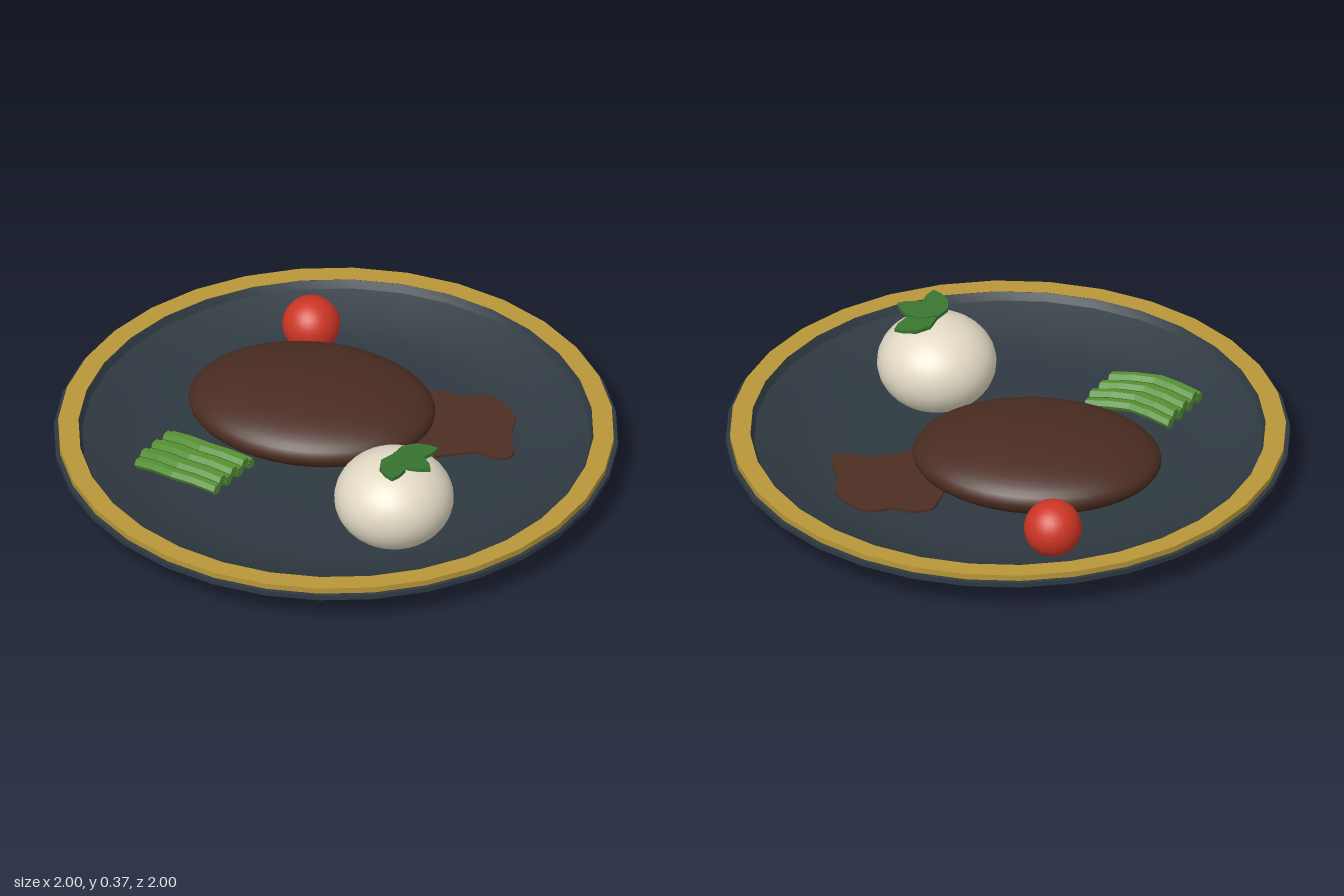
import * as THREE from 'three';
import { toCreasedNormals } from 'three/addons/utils/BufferGeometryUtils.js';

const mat = (name, color, flatShading = false) => {
  const m = new THREE.MeshStandardMaterial({ color, flatShading });
  m.name = name;
  return m;
};

export function createModel() {
  const slate = mat('slate', 0x2f3941);
  const gold = mat('gold', 0xb89638);
  const meat = mat('browned meat', 0x4a2c21);
  const gravy = mat('gravy', 0x4c2e23);
  const cream = mat('cream', 0xe2d9c4);
  const red = mat('tomato red', 0xcc3524);
  const beanGreen = mat('bean green', 0x559133, true);
  const leafGreen = mat('leaf green', 0x387530, true);

  const model = new THREE.Group();
  model.name = 'dinnerPlate';
  const add = (name, geometry, material, parent = model) => {
    const mesh = new THREE.Mesh(geometry, material);
    mesh.name = name;
    parent.add(mesh);
    return mesh;
  };
  const lathe = (pts) =>
    toCreasedNormals(new THREE.LatheGeometry(pts.map(([r, y]) => new THREE.Vector2(r, y)), 32), 0.6);
  // Flat slab from an outline of [x, z] points, resting on y = 0
  const slab = (pts, depth, smooth) => {
    const v = pts.map(([x, z]) => new THREE.Vector2(x, -z));
    const shape = new THREE.Shape(smooth ? new THREE.SplineCurve([...v, v[0]]).getPoints(48) : v);
    return new THREE.ExtrudeGeometry(shape, { depth, bevelEnabled: false }).rotateX(-Math.PI / 2);
  };

  // Plate: underside, edge, then the dished inside
  add('plate', lathe([
    [0, 0], [0.58, 0], [0.62, 0.01], [0.9, 0.085], [1, 0.115], [1, 0.133], [0.915, 0.135],
    [0.915, 0.153], [0.9, 0.125], [0.8, 0.085], [0.69, 0.052], [0.6, 0.047], [0, 0.045],
  ]), slate);
  add('goldRim', lathe([[0.985, 0.13], [0.985, 0.155], [0.913, 0.155]]), gold);

  // Steak
  const steak = add('steak', new THREE.SphereGeometry(1, 40, 24), meat);
  steak.scale.set(0.443, 0.115, 0.345);
  steak.position.set(-0.17, 0.14, -0.083);
  steak.rotation.y = Math.PI / 8;

  // Gravy puddle
  add('gravyPuddle', slab([
    [0.03, -0.46], [0.08, -0.52], [0.15, -0.53], [0.21, -0.59], [0.28, -0.595], [0.38, -0.55],
    [0.43, -0.46], [0.51, -0.37], [0.49, -0.31], [0.4, -0.29], [0.33, -0.22], [0.26, -0.16], [0.08, -0.3],
  ], 0.009, true), gravy).position.y = 0.051;

  // Mash and tomato
  const mash = add('mashScoop', new THREE.SphereGeometry(1, 32, 24), cream);
  mash.scale.set(0.212, 0.172, 0.212);
  mash.position.set(0.433, 0.172, 0.23);
  add('tomato', new THREE.SphereGeometry(0.103, 24, 18), red).position.set(-0.468, 0.143, -0.47);

  // Green beans: rods arched upward and kinked toward the back at one end
  const beans = new THREE.Group();
  beans.name = 'greenBeans';
  model.add(beans);
  const half = 0.162;
  for (let i = 0; i < 7; i++) {
    const g = new THREE.CylinderGeometry(0.021, 0.021, half * 2, 6, 4).rotateZ(Math.PI / 2);
    const p = g.attributes.position;
    for (let k = 0; k < p.count; k++) {
      const t = p.getX(k) / half;
      p.setY(k, p.getY(k) + 0.018 * (1 - t * t));
      p.setZ(k, p.getZ(k) - 0.038 * Math.max(0, t));
    }
    g.computeVertexNormals();
    add('bean', g, beanGreen, beans).position.set(-0.293, i % 2 ? 0.148 : 0.128, 0.362 + i * 0.033);
  }

  // Herb sprig: three leaves fanned out from one stem point
  const sprig = new THREE.Group();
  sprig.name = 'herbSprig';
  sprig.position.set(0.43, 0.345, 0.23);
  sprig.rotation.x = -0.07;
  model.add(sprig);
  const leaf = slab([
    [0, 0], [0.045, 0.042], [0.1, 0.046], [0.14, 0.025], [0.165, 0],
    [0.14, -0.025], [0.1, -0.046], [0.045, -0.042],
  ], 0.014);
  [-0.95, 0, 0.95].forEach((a, i) => {
    const l = add('leaf', leaf, leafGreen, sprig);
    l.rotation.y = a;
    l.position.y = i === 1 ? 0.005 : 0;
  });
  return model;
}
